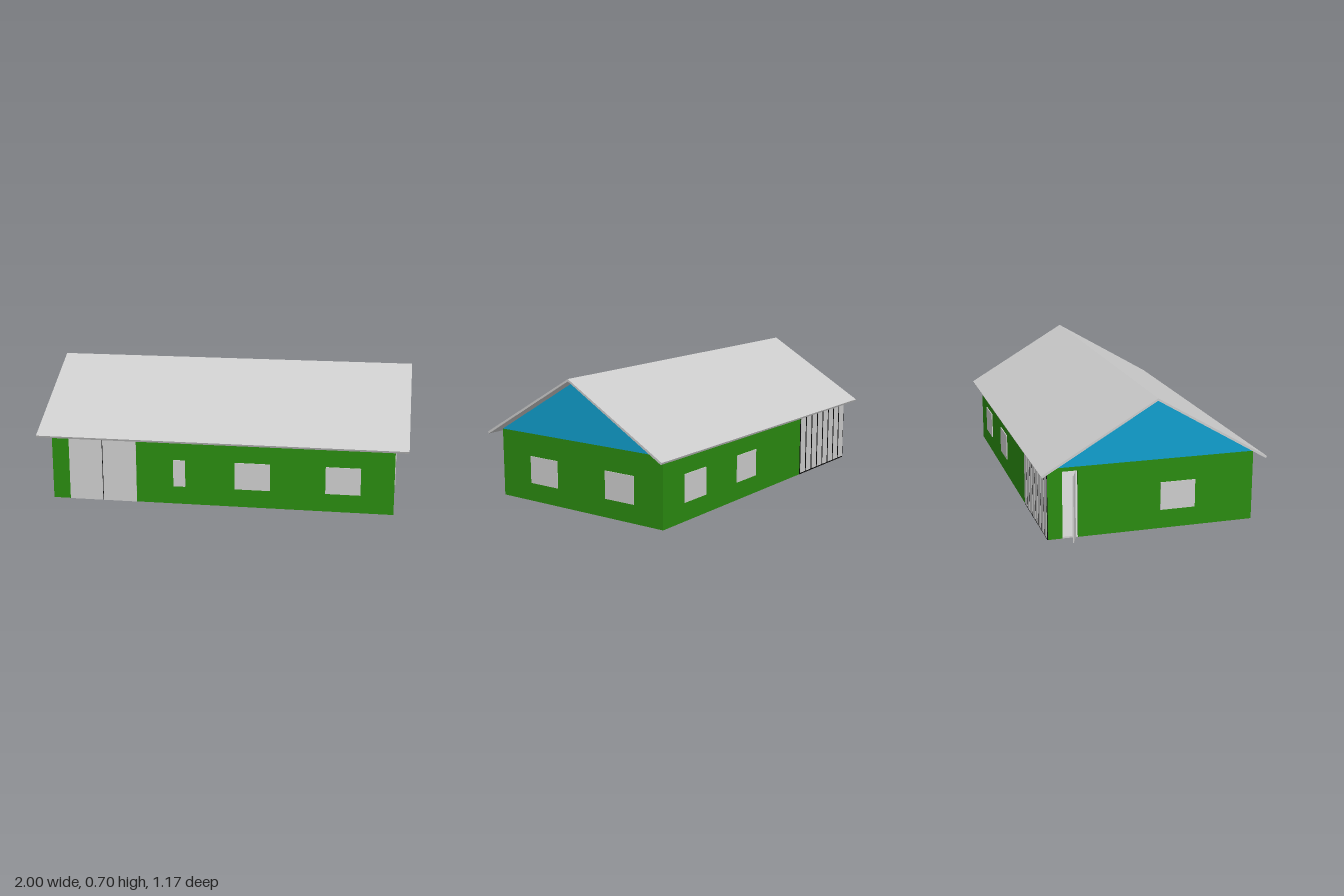
import * as THREE from 'three';

const mat = (color) => new THREE.MeshStandardMaterial({ color, flatShading: true });

export function createModel() {
  const house = new THREE.Group();
  house.name = 'house';
  const green = mat(0x2a8a10), blue = mat(0x109fcd), grey = mat(0xcccccc), black = mat(0x080808);
  const X0 = -0.925, X1 = 0.93, Z0 = -0.54, Z1 = 0.545, H = 0.37, T = 0.012;

  // Box given by its lower and upper corners
  const box = (name, m, x0, x1, y0, y1, z0, z1, parent = house) => {
    const mesh = new THREE.Mesh(new THREE.BoxGeometry(x1 - x0, y1 - y0, z1 - z0), m);
    mesh.position.set((x0 + x1) / 2, (y0 + y1) / 2, (z0 + z1) / 2);
    mesh.name = name;
    parent.add(mesh);
    return mesh;
  };

  // Floor and walls; the left end wall leaves a doorway
  const D0 = -0.465, D1 = -0.385, doorTop = 0.35;
  box('floor', grey, X0 + 0.003, X1 - 0.003, 0, 0.008, Z0 + 0.003, Z1 - 0.003);
  box('frontWall', green, X0, X1, 0.001, H, Z1 - T, Z1);
  box('backWall', green, X0, X1, 0.001, H, Z0, Z0 + T);
  box('rightEndWall', green, X1 - T, X1, 0.001, H, Z0 + T, Z1 - T);
  box('leftEndWall', green, X0, X0 + T, 0.001, H, D1, Z1 - T);
  box('leftEndWallCorner', green, X0, X0 + T, 0.001, H, Z0 + T, D0);
  box('doorLintel', green, X0, X0 + T, doorTop, H, D0, D1);

  // Gable block filling the space under the roof
  const tri = new THREE.Shape([
    new THREE.Vector2(-Z1, H), new THREE.Vector2(-Z0, H), new THREE.Vector2(0, 0.692)]);
  const gable = new THREE.Mesh(
    new THREE.ExtrudeGeometry(tri, { depth: X1 - X0, bevelEnabled: false }), blue);
  gable.rotation.y = Math.PI / 2;
  gable.position.x = X0;
  gable.name = 'gables';
  house.add(gable);

  // Roof: two thin slopes meeting at the ridge
  const profile = new THREE.Shape([[0, 0.705], [-0.587, 0.361], [-0.582, 0.35],
    [0, 0.693], [0.582, 0.35], [0.587, 0.361]].map(([z, y]) => new THREE.Vector2(z, y)));
  const roof = new THREE.Mesh(
    new THREE.ExtrudeGeometry(profile, { depth: 2, bevelEnabled: false }), grey);
  roof.rotation.y = Math.PI / 2;
  roof.position.x = -1;
  roof.name = 'roof';
  house.add(roof);

  // Windows, slightly proud of the walls
  const P = 0.005, W0 = 0.1, W1 = 0.247;
  for (const [a, b] of [[-0.25, -0.185], [0.085, 0.275], [0.57, 0.755]])
    box('frontWindow', grey, a, b, W0, W1, Z1 - 0.002, Z1 + P);
  for (const [a, b] of [[0.095, 0.28], [0.57, 0.755]])
    box('backWindow', grey, a, b, W0, W1, Z0 - P, Z0 + 0.002);
  for (const [a, b] of [[0.15, 0.34], [-0.36, -0.175]])
    box('rightWindow', grey, X1 - 0.002, X1 + 0.004, W0, W1, a, b);
  box('leftWindow', grey, X0 - 0.004, X0 + 0.002, W0, W1, 0.045, 0.23);

  // Double front door
  box('frontDoorLeaf', grey, -0.83, -0.645, 0.001, 0.357, Z1 - 0.002, Z1 + 0.003);
  box('frontDoorLeaf', grey, -0.641, -0.455, 0.001, 0.357, Z1 - 0.002, Z1 + 0.003);
  box('frontDoorGap', black, -0.645, -0.641, 0.001, 0.357, Z1 - 0.002, Z1 + 0.001);

  // Glazed back front: eight panes in a black frame
  const G0 = X0, G1 = -0.39, n = 8, step = (G1 - G0) / n;
  box('glazingFrame', black, G0, G1, 0.001, 0.362, Z0 - 0.002, Z0 + 0.002);
  for (let i = 0; i < n; i++)
    box('glazingPane', grey, G0 + i * step + 0.007, G0 + (i + 1) * step - 0.007,
      0.009, 0.353, Z0 - 0.004, Z0);

  // Side door, standing open on its hinge
  const door = new THREE.Group();
  door.name = 'sideDoor';
  box('sideDoorLeaf', grey, -0.08, 0, 0.002, doorTop, -0.003, 0.003, door);
  door.position.set(X0, 0, -0.4);
  door.rotation.y = -0.37;
  house.add(door);

  return house;
}
